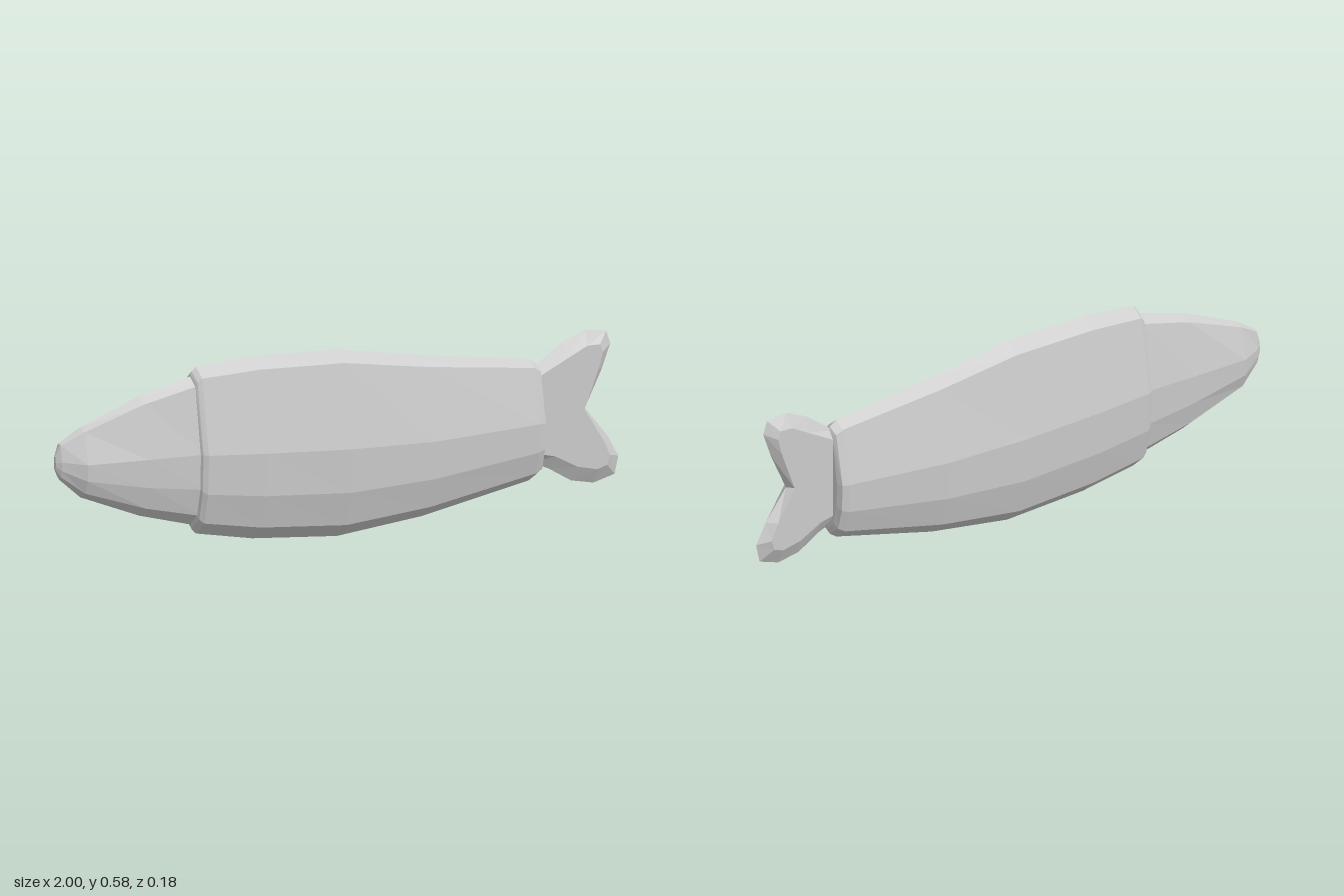
import * as THREE from 'three';

const material = new THREE.MeshStandardMaterial({ color: 0xcccccc, flatShading: true });

// Half cross-section: [height fraction, width fraction], top ridge to keel
const HALF = [[1, 0], [0.94, 0.5], [0.49, 1], [0.255, 0.94], [0.075, 0.64], [0, 0]];
const SECTION = [...HALF, ...HALF.slice(1, -1).reverse().map(([h, w]) => [h, -w])];

function makeMesh(name, positions, index) {
  const geometry = new THREE.BufferGeometry();
  geometry.setAttribute('position', new THREE.Float32BufferAttribute(positions, 3));
  geometry.setIndex(index);
  const flat = geometry.toNonIndexed();
  flat.computeVertexNormals();
  const mesh = new THREE.Mesh(flat, material);
  mesh.name = name;
  return mesh;
}

// Skin the section along x; stations are [x, top, bottom, half width]
function loft(name, stations) {
  const n = SECTION.length, positions = [], index = [];
  for (const [x, top, bottom, width] of stations) {
    for (const [h, w] of SECTION) positions.push(x, bottom + (top - bottom) * h, width * w);
  }
  for (let i = 0; i < stations.length - 1; i++) {
    for (let j = 0; j < n; j++) {
      const a = i * n + j, b = i * n + (j + 1) % n;
      index.push(a, b, b + n, a, b + n, a + n);
    }
  }
  const last = (stations.length - 1) * n;
  for (let j = 1; j < n - 1; j++) {
    index.push(0, j + 1, j, last, last + j, last + j + 1);
  }
  return makeMesh(name, positions, index);
}

// Flat fin with a sharp rim: [rim x, rim y, face x, face y], counter-clockwise
function makeTail() {
  const outline = [
    [0.69, 0.16, 0.69, 0.19], [0.75, 0.135, 0.76, 0.175], [0.83, 0.09, 0.84, 0.135],
    [0.91, 0.075, 0.91, 0.12], [0.985, 0.095, 0.945, 0.13], [0.998, 0.15, 0.955, 0.16],
    [0.96, 0.215, 0.93, 0.21], [0.88, 0.31, 0.865, 0.31], [0.94, 0.425, 0.915, 0.43],
    [0.97, 0.5, 0.93, 0.48], [0.955, 0.54, 0.92, 0.505], [0.88, 0.55, 0.875, 0.505],
    [0.8, 0.52, 0.81, 0.475], [0.69, 0.45, 0.69, 0.42],
  ];
  const n = outline.length, half = 0.023, positions = [], index = [];
  for (const p of outline) positions.push(p[0], p[1], 0);
  for (const z of [half, -half]) for (const p of outline) positions.push(p[2], p[3], z);
  for (let i = 0; i < n; i++) {
    const j = (i + 1) % n;
    index.push(i, j, n + j, i, n + j, n + i);
    index.push(j, i, 2 * n + i, j, 2 * n + i, 2 * n + j);
  }
  const face = outline.map((p) => new THREE.Vector2(p[2], p[3]));
  for (const [a, b, c] of THREE.ShapeUtils.triangulateShape(face, [])) {
    index.push(n + a, n + b, n + c, 2 * n + a, 2 * n + c, 2 * n + b);
  }
  return makeMesh('tailFin', positions, index);
}

export function createModel() {
  const group = new THREE.Group();
  group.name = 'fish';

  // Narrower head slips into the front of the body
  group.add(loft('head', [
    [-1, 0.35, 0.305, 0.006],
    [-0.985, 0.388, 0.275, 0.018],
    [-0.91, 0.43, 0.213, 0.048],
    [-0.7, 0.505, 0.135, 0.057],
    [-0.5, 0.552, 0.085, 0.063],
  ]));

  // Body with a bevelled lip at both ends
  group.add(loft('body', [
    [-0.52, 0.552, 0.09, 0.062],
    [-0.515, 0.562, 0.075, 0.07],
    [-0.5, 0.575, 0.06, 0.077],
    [-0.3, 0.586, 0.025, 0.086],
    [0, 0.578, 0.002, 0.091],
    [0.3, 0.53, 0.033, 0.084],
    [0.68, 0.48, 0.105, 0.066],
    [0.705, 0.465, 0.12, 0.06],
    [0.712, 0.45, 0.14, 0.042],
  ]));

  group.add(makeTail());
  return group;
}
